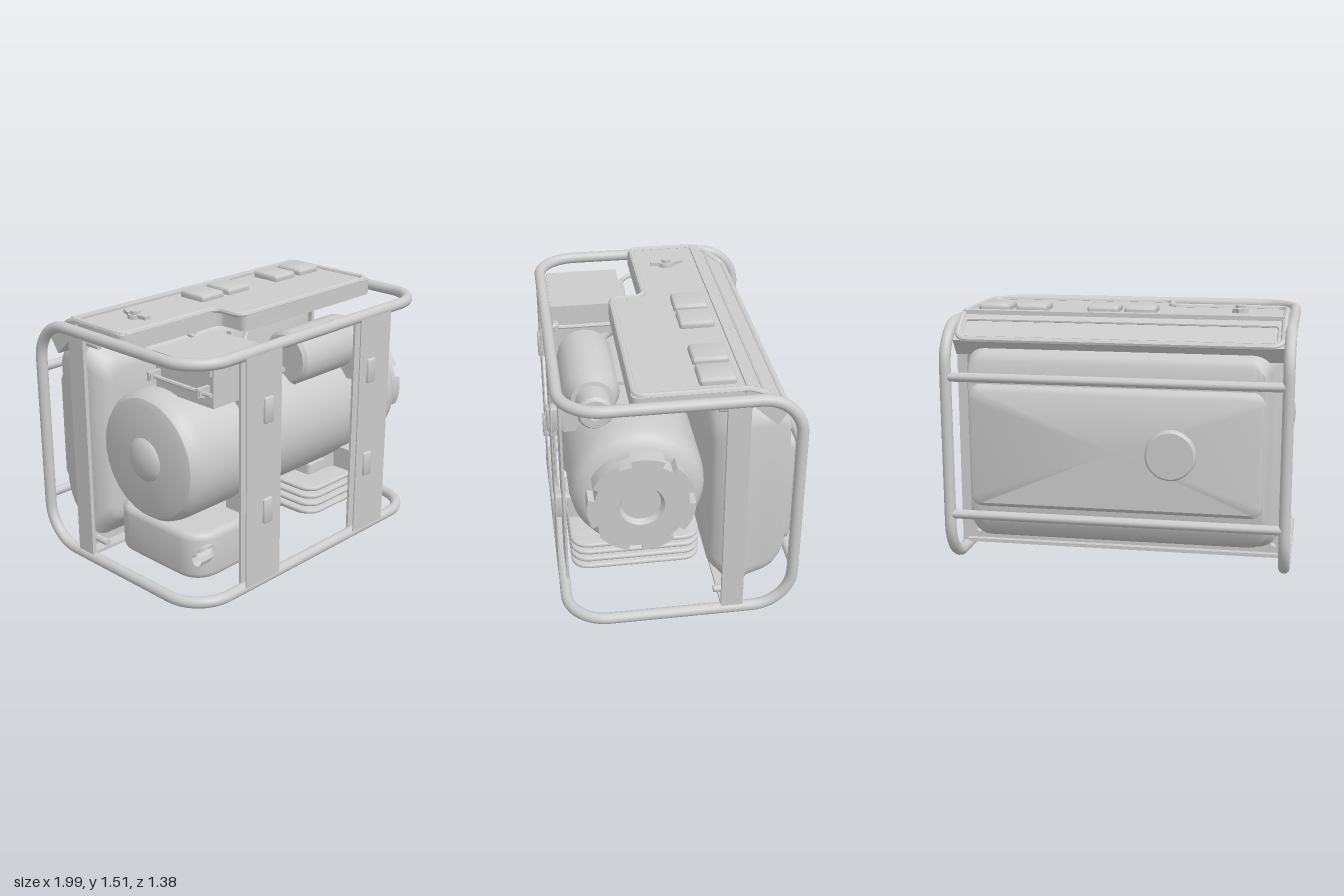
import * as THREE from 'three';
import { toCreasedNormals } from 'three/addons/utils/BufferGeometryUtils.js';
import { RoundedBoxGeometry } from 'three/addons/geometries/RoundedBoxGeometry.js';

const V = (x, y, z) => new THREE.Vector3(x, y, z);
const material = new THREE.MeshStandardMaterial({ color: 0xcccccc, side: THREE.DoubleSide });

// Closed path through corner points, each corner rounded by radius r
function roundLoop(corners, r) {
  const path = new THREE.CurvePath();
  const n = corners.length;
  const arcs = corners.map((p, i) => {
    const cut = q => p.clone().add(q.clone().sub(p).setLength(r));
    const a = cut(corners[(i + n - 1) % n]);
    const b = cut(corners[(i + 1) % n]);
    return new THREE.CubicBezierCurve3(a, a.clone().lerp(p, 0.552), b.clone().lerp(p, 0.552), b);
  });
  arcs.forEach((arc, i) => {
    path.add(arc);
    path.add(new THREE.LineCurve3(arc.v3, arcs[(i + 1) % n].v0));
  });
  return path;
}

// Flat [a, b] outline with rounded corners
function roundOutline(pts, r) {
  const loop = roundLoop(pts.map(([a, b]) => V(a, b, 0)), r);
  const out = loop.curves.flatMap(c => c.getPoints(c.isLineCurve3 ? 1 : 6).slice(0, -1));
  return out.map(p => new THREE.Vector2(p.x, p.y));
}
const rect = (x0, x1, y0, y1) => [[x0, y0], [x1, y0], [x1, y1], [x0, y1]];
const extrude = (shape, depth, bevel = 0) => new THREE.ExtrudeGeometry(shape, {
  depth: depth - 2 * bevel, curveSegments: 12, bevelEnabled: bevel > 0,
  bevelThickness: bevel, bevelSize: bevel, bevelOffset: -bevel, bevelSegments: 4,
}).translate(0, 0, bevel);
// Slab from an [x, z] outline, rising from y0 to y1
const slab = (pts, r, y0, y1, bevel) =>
  extrude(new THREE.Shape(roundOutline(pts.map(([x, z]) => [x, -z]).reverse(), r)), y1 - y0, bevel)
    .rotateX(-Math.PI / 2).translate(0, y0, 0);
// Turned part along x from [radius, x] pairs, centred on y, z
const turned = (pts, y, z, seg = 32) =>
  new THREE.LatheGeometry(pts.map(p => new THREE.Vector2(...p)), seg).rotateZ(-Math.PI / 2).translate(0, y, z);
const rod = (a, b, r, r2 = r, seg = 16) => {
  const d = b.clone().sub(a);
  const g = new THREE.CylinderGeometry(r2, r, d.length(), seg);
  g.applyQuaternion(new THREE.Quaternion().setFromUnitVectors(V(0, 1, 0), d.clone().normalize()));
  return g.translate(...a.clone().add(b).multiplyScalar(0.5).toArray());
};
const block = (x0, x1, y0, y1, z0, z1, r = 0) => {
  const s = [x1 - x0, y1 - y0, z1 - z0];
  const g = r ? new RoundedBoxGeometry(...s, 4, r) : new THREE.BoxGeometry(...s);
  return g.translate((x0 + x1) / 2, (y0 + y1) / 2, (z0 + z1) / 2);
};
const wire = (pts, r) => new THREE.TubeGeometry(new THREE.CatmullRomCurve3(pts.map(p => V(...p))), 40, r, 8);

// Skin over rounded rectangles [z, halfWidth, y0, y1, radius], front to back
function loft(sections) {
  const rings = sections.map(([z, w, y0, y1, r]) => roundOutline(rect(-w, w, y0, y1), r).map(p => V(p.x, p.y, z)));
  const flat = ring => ring.map(p => V(0, 0.73, p.z));
  const all = [flat(rings[0]), ...rings, flat(rings.at(-1))];
  const n = rings[0].length, index = [];
  for (let i = 0; i < all.length - 1; i++) for (let j = 0; j < n; j++) {
    const a = i * n + j, b = i * n + (j + 1) % n;
    index.push(a, a + n, b, b, a + n, b + n);
  }
  const g = new THREE.BufferGeometry().setFromPoints(all.flat());
  g.setIndex(index);
  g.computeVertexNormals();
  return g;
}

export function createModel() {
  const model = new THREE.Group();
  model.name = 'portableGenerator';
  const add = (name, geometry) => {
    const mesh = new THREE.Mesh(toCreasedNormals(geometry, 0.6), material);
    mesh.name = name;
    model.add(mesh);
  };

  // Tubular frame: one continuous bent loop and two rear rails
  const X = 0.965, T = 1.417, B = 0.033, F = 0.643, R = -0.642;
  const loop = roundLoop([V(-X, T, F), V(X, T, F), V(X, T, R), V(X, B, R),
    V(X, B, F), V(-X, B, F), V(-X, B, R), V(-X, T, R)], 0.23);
  add('frameTube', new THREE.TubeGeometry(loop, 360, 0.033, 14, true));
  for (const y of [0.32, 1.13]) add('rearRail', rod(V(-X, y, R), V(X, y, R), 0.027));

  // Front pillars: outer and inner sheets with raised mounting tabs
  for (const [x0, x1, tab] of [[-0.62, -0.345, -0.455], [0.335, 0.615, 0.435]]) {
    add('frontPillar', block(x0, x1, 0.04, 1.41, 0.667, 0.674));
    add('pillarBack', block(x0, x1, 0.04, 1.41, 0.616, 0.63));
    for (const y of [0.48, 1.08]) {
      add('mountTab', block(tab - 0.035, tab + 0.035, y - 0.075, y + 0.075, 0.56, 0.69, 0.01));
      add('engineMount', block(tab - 0.05, tab + 0.05, y - 0.07, y + 0.07, 0.4, 0.6));
    }
  }

  // Fuel tank: two pressed halves, the rear one bulging out between the rails
  add('fuelTank', loft([[-0.17, 0.82, 0.29, 1.18, 0.08], [-0.178, 0.86, 0.255, 1.215, 0.1], [-0.2, 0.885, 0.23, 1.25, 0.11],
    [-0.24, 0.91, 0.19, 1.285, 0.12], [-0.3, 0.93, 0.12, 1.335, 0.12], [-0.36, 0.92, 0.12, 1.33, 0.12],
    [-0.4, 0.89, 0.135, 1.312, 0.12], [-0.5, 0.87, 0.16, 1.295, 0.11], [-0.55, 0.86, 0.19, 1.28, 0.1],
    [-0.59, 0.85, 0.25, 1.255, 0.09], [-0.61, 0.845, 0.31, 1.22, 0.08], [-0.615, 0.84, 0.37, 1.09, 0.07],
    [-0.64, 0.835, 0.38, 1.075, 0.06], [-0.655, 0.81, 0.4, 1.05, 0.05]]));
  add('fuelCap', rod(V(-0.325, 0.73, -0.63), V(-0.325, 0.73, -0.682), 0.148, 0.142, 36));
  add('fuelCapTop', rod(V(-0.325, 0.73, -0.682), V(-0.325, 0.73, -0.69), 0.142, 0.132, 36));

  // Tank carrier: channel frame with a seam plate and corner bolts
  for (const s of [-1, 1]) {
    add('carrierSide', block(s * 0.972 - 0.012, s * 0.972 + 0.012, 0.06, 1.39, -0.355, -0.23));
    for (const y of [0.115, 1.34]) add('cornerBolt', rod(V(s * 0.89, y, -0.375), V(s * 0.89, y, -0.2), 0.02));
  }
  add('carrierBottom', block(-0.97, 0.97, 0.055, 0.075, -0.355, -0.23));
  add('carrierTop', block(-0.97, 0.97, 1.37, 1.39, -0.355, -0.23));
  const plate = new THREE.Shape(roundOutline(rect(-0.97, 0.97, 0.06, 1.39), 0.01));
  plate.holes.push(new THREE.Path(roundOutline(rect(-0.88, 0.88, 0.2, 1.26), 0.1)));
  add('carrierPlate', extrude(plate, 0.02).translate(0, 0, -0.32));

  // Control panel: stepped deck, sloping rear and raised rim
  add('panelDeck', slab([[-0.945, 0.065], [-0.21, 0.065], [-0.21, 0.267], [0.94, 0.267], [0.94, -0.34], [-0.945, -0.34]],
    0.04, 1.37, 1.466));
  const slope = [[-0.33, 1.466], [-0.39, 1.458], [-0.43, 1.43], [-0.575, 1.33], [-0.51, 1.24], [-0.37, 1.37], [-0.33, 1.37]];
  const slopeShape = new THREE.Shape(slope.map(([z, y]) => new THREE.Vector2(-z, y)));
  add('panelSlope', extrude(slopeShape, 1.88).rotateY(Math.PI / 2).translate(-0.943, 0, 0));
  add('panelRidge', block(-0.925, 0.92, 1.455, 1.479, -0.395, -0.338));
  const rim = roundLoop([V(-0.927, 1.467, 0.047), V(-0.226, 1.467, 0.047), V(-0.226, 1.467, 0.25), V(0.922, 1.467, 0.25),
    V(0.922, 1.467, -0.39), V(0.922, 1.335, -0.562), V(-0.927, 1.335, -0.562), V(-0.927, 1.467, -0.39)], 0.06);
  add('panelRim', new THREE.TubeGeometry(rim, 300, 0.018, 8, true));
  add('slopeRim', new THREE.TubeGeometry(roundLoop([V(-0.9, 1.43, -0.435), V(0.9, 1.43, -0.435),
    V(0.9, 1.35, -0.55), V(-0.9, 1.35, -0.55)], 0.02), 160, 0.01, 6, true));
  for (const x of [-0.093, 0.125, 0.547, 0.77]) add('socketCover', block(x - 0.09, x + 0.09, 1.45, 1.505, -0.3, -0.1, 0.018));
  add('switchBase', rod(V(-0.66, 1.46, -0.15), V(-0.66, 1.49, -0.15), 0.048, 0.045, 24));
  add('switchKnob', rod(V(-0.66, 1.48, -0.15), V(-0.66, 1.51, -0.15), 0.03));
  add('switchPointer', extrude(new THREE.Shape([[-0.022, 0.1], [-0.022, -0.05], [0.022, -0.05], [0.022, 0.1], [0, 0.155]]
    .map(q => new THREE.Vector2(...q))), 0.02).rotateX(-Math.PI / 2).translate(-0.66, 1.475, -0.1));

  // Motor housing along x with a domed hub on its right end
  add('motorHousing', turned([[0, -0.95], [0.3, -0.95], [0.345, -0.935], [0.37, -0.9], [0.38, -0.85], [0.38, 0.7],
    [0.372, 0.77], [0.35, 0.82], [0.31, 0.85], [0.27, 0.86], [0, 0.86]], 0.8, 0.22, 40));
  add('endHub', turned([[0, -0.99], [0.05, -0.986], [0.09, -0.975], [0.12, -0.958], [0.13, -0.94]], 0.8, 0.22));

  // Notched fan cover with a recessed hub
  const cover = new THREE.Shape();
  const N = 7;
  for (let i = 0; i < N; i++) {
    const a = 0.1 + i * 2 * Math.PI / N, gap = 0.13;
    cover.absarc(0, 0, 0.262, a - gap, a + gap, false);
    cover.absarc(0, 0, 0.298, a + gap, a + 2 * Math.PI / N - gap, false);
  }
  cover.closePath();
  cover.holes.push(new THREE.Path().absarc(0, 0, 0.125, 0, Math.PI * 2, true));
  add('fanCover', extrude(cover, 0.105).rotateY(Math.PI / 2).translate(0.855, 0.8, 0.22));
  add('fanHub', turned([[0.125, 0.85], [0.125, 0.955], [0.108, 0.925], [0, 0.925]], 0.8, 0.22));

  // Air filter canister with hollow outlet
  add('airFilter', turned([[0, -0.055], [0.14, -0.055], [0.16, -0.035], [0.16, 0.43], [0.125, 0.515], [0.1, 0.52],
    [0.1, 0.64], [0.085, 0.66], [0.04, 0.66], [0.04, 0.62], [0, 0.62]], 1.215, 0.432, 16));
  add('filterStay', block(0.1, 0.3, 1.05, 1.2, 0.2, 0.42));

  // Battery with clamp rods and terminals
  add('battery', block(-0.805, -0.35, 1.16, 1.375, 0.17, 0.61));
  add('batteryLid', block(-0.82, -0.335, 1.34, 1.385, 0.155, 0.6));
  for (const x of [-0.86, -0.305]) {
    const inner = x < -0.5 ? -0.8 : -0.36, outer = x < -0.5 ? x - 0.03 : x + 0.03;
    add('clampRod', rod(V(x, 1.26, 0.18), V(x, 1.26, 0.65), 0.013, 0.013, 8));
    for (const z of [0.2, 0.575]) {
      add('clampNut', rod(V(x, 1.26, z - 0.01), V(x, 1.26, z + 0.02), 0.03, 0.03, 6));
      add('clampLug', block(Math.min(outer, inner), Math.max(outer, inner), 1.235, 1.285, z - 0.01, z + 0.01));
    }
  }
  for (const x of [-0.64, -0.52]) add('terminal', block(x - 0.055, x + 0.055, 1.2, 1.37, 0.14, 0.2));
  for (const x of [-0.78, -0.44]) add('batteryCable', wire([[x, 1.24, 0.17], [x + 0.05, 1.24, 0.12],
    [x + 0.02, 1.33, 0.12], [x, 1.37, 0.03]], 0.014));

  // Cylinder block with stacked, round-edged cooling fins
  add('cylinderBlock', block(0.17, 0.6, 0.2, 0.5, 0.01, 0.45, 0.03));
  add('cylinderCore', rod(V(0.38, 0.2, 0.23), V(0.38, 0.55, 0.23), 0.23, 0.23, 32));
  for (let i = 0; i < 4; i++) {
    const y = 0.25 + i * 0.05;
    add('coolingFin', slab(rect(0.01, 0.76, -0.145, 0.6), 0.1, y - 0.014, y + 0.014, 0.013));
  }
  add('lowerFin', slab(rect(0.05, 0.72, -0.07, 0.53), 0.08, 0.205, 0.23, 0.012));
  add('cylinderHead', block(0.14, 0.63, 0.185, 0.215, 0.02, 0.45));
  add('sparkPlug', rod(V(0.33, 0.21, 0.18), V(0.33, 0.09, 0.26), 0.035));
  add('sparkPlugCollar', rod(V(0.33, 0.165, 0.21), V(0.33, 0.155, 0.217), 0.06));
  add('sparkLead', wire([[0.33, 0.09, 0.24], [0.25, 0.075, 0.12], [0.08, 0.08, 0.06], [0, 0.16, -0.02],
    [-0.02, 0.28, -0.11], [0, 0.45, -0.145], [0, 0.6, -0.13], [0, 0.7, -0.08]], 0.012));

  // Silencer box, exhaust elbow and manifold
  add('silencer', slab(rect(-0.905, -0.265, -0.125, 0.58), 0.15, 0.14, 0.42, 0.04));
  add('exhaustElbow', wire([[-0.8, 0.31, 0.48], [-0.81, 0.31, 0.55], [-0.84, 0.31, 0.585], [-0.88, 0.31, 0.59], [-0.925, 0.31, 0.59]], 0.036));
  add('exhaustFlange', rod(V(-0.81, 0.31, 0.52), V(-0.81, 0.31, 0.585), 0.055, 0.05, 20));
  add('manifold', rod(V(-0.28, 0.335, 0.25), V(0.2, 0.335, 0.25), 0.065, 0.065, 20));
  add('carburettor', new THREE.SphereGeometry(0.1, 24, 16).translate(-0.13, 0.265, 0.06));
  add('carburettorBody', block(-0.2, -0.04, 0.26, 0.48, -0.02, 0.14, 0.02));

  // Loose cables under the panel
  add('filterCable', wire([[-0.04, 1.15, 0.43], [-0.15, 1.16, 0.38], [-0.2, 1.23, 0.28], [-0.15, 1.3, 0.21], [-0.08, 1.37, 0.18]], 0.012));
  add('panelCable', wire([[-0.25, 1.36, 0.18], [-0.26, 1.26, 0.13], [-0.27, 1.25, 0.03], [-0.28, 1.3, -0.06], [-0.28, 1.37, -0.07]], 0.014));

  return model;
}
